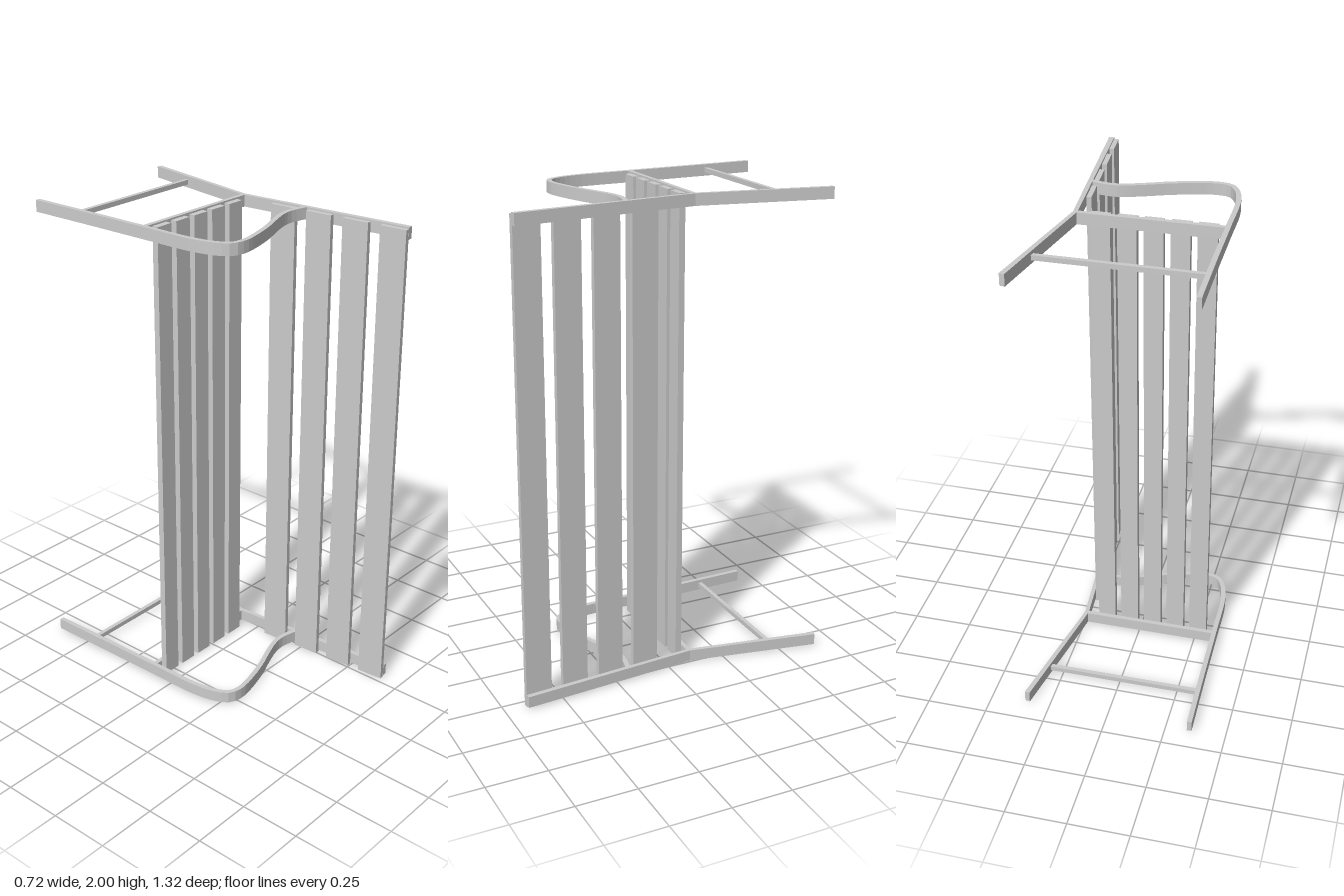
import * as THREE from 'three';

const FRAME_H = 0.048;   // depth of each end frame along y
const SLAT_TOP = 1.993;  // slats run from y = 0 to here

export function createModel() {
  const model = new THREE.Group();
  model.name = 'slattedBench';
  const material = new THREE.MeshStandardMaterial({ color: 0xcccccc, flatShading: true });

  // Extrudes an outline given as [x, z] points upward from y0 to y1
  function prism(name, outline, y0, y1, parent) {
    const shape = new THREE.Shape(outline.map(([x, z]) => new THREE.Vector2(x, z)));
    const geometry = new THREE.ExtrudeGeometry(shape, { depth: y1 - y0, bevelEnabled: false });
    geometry.rotateX(Math.PI / 2).translate(0, y1, 0);
    const mesh = new THREE.Mesh(geometry, material);
    mesh.name = name;
    parent.add(mesh);
  }

  const rect = (x0, x1, z0, z1) => [[x0, z0], [x1, z0], [x1, z1], [x0, z1]];

  // Outline of a strip of constant width along a smooth centre line
  function ribbon(points, width, segments) {
    const curve = new THREE.CatmullRomCurve3(points.map(([x, z]) => new THREE.Vector3(x, 0, z)));
    const sideA = [], sideB = [];
    for (let i = 0; i <= segments; i++) {
      const p = curve.getPointAt(i / segments);
      const t = curve.getTangentAt(i / segments);
      sideA.push([p.x - t.z * width / 2, p.z + t.x * width / 2]);
      sideB.unshift([p.x + t.z * width / 2, p.z - t.x * width / 2]);
    }
    return sideA.concat(sideB);
  }

  // Front leg sweeping round into the armrest
  const armOutline = ribbon([
    [-0.35, -0.665], [-0.343, -0.38], [-0.338, -0.09], [-0.332, 0.14], [-0.311, 0.232],
    [-0.279, 0.281], [-0.226, 0.293], [-0.139, 0.278], [-0.04, 0.249], [0.054, 0.212],
    [0.125, 0.188], [0.174, 0.181], [0.216, 0.186], [0.262, 0.197],
  ], 0.02, 56);

  // The backrest leans along this line (outer face of the rear post)
  const backX = z => 0.2595 + 0.0835 * z;
  const postOutline = [
    [0.335, -0.659], [0.356, -0.655], [backX(-0.1), -0.1], [backX(0.656), 0.656],
    [backX(0.658) - 0.022, 0.658], [backX(-0.1) - 0.017, -0.1],
  ];

  // Two matching end frames
  for (const [name, y] of [['lowerEndFrame', 0.006], ['upperEndFrame', 2 - FRAME_H]]) {
    const frame = new THREE.Group();
    frame.name = name;
    const top = y + FRAME_H;
    prism('frontLegAndArmrest', armOutline, y, top, frame);
    prism('rearLegAndBackPost', postOutline, y, top, frame);
    prism('seatRail', rect(-0.335, 0.24, -0.109, -0.09), y, top, frame);
    prism('legStretcher', rect(-0.34, 0.312, -0.468, -0.45), y + 0.014, top - 0.014, frame);
    model.add(frame);
  }

  // Seat slats
  const seat = new THREE.Group();
  seat.name = 'seatSlats';
  for (let i = 0; i < 5; i++) {
    const x = -0.3 + i * 0.103;
    prism('seatSlat', rect(x, x + 0.076, -0.09, -0.064), 0, SLAT_TOP, seat);
  }
  model.add(seat);

  // Backrest slats, on the inner face of the leaning posts
  const back = new THREE.Group();
  back.name = 'backSlats';
  for (let i = 0; i < 4; i++) {
    const z0 = 0.055 + i * 0.164, z1 = z0 + 0.112;
    prism('backSlat', [
      [backX(z0) - 0.041, z0], [backX(z0) - 0.021, z0 - 0.002],
      [backX(z1) - 0.021, z1 - 0.002], [backX(z1) - 0.041, z1],
    ], 0, SLAT_TOP, back);
  }
  model.add(back);

  return model;
}
